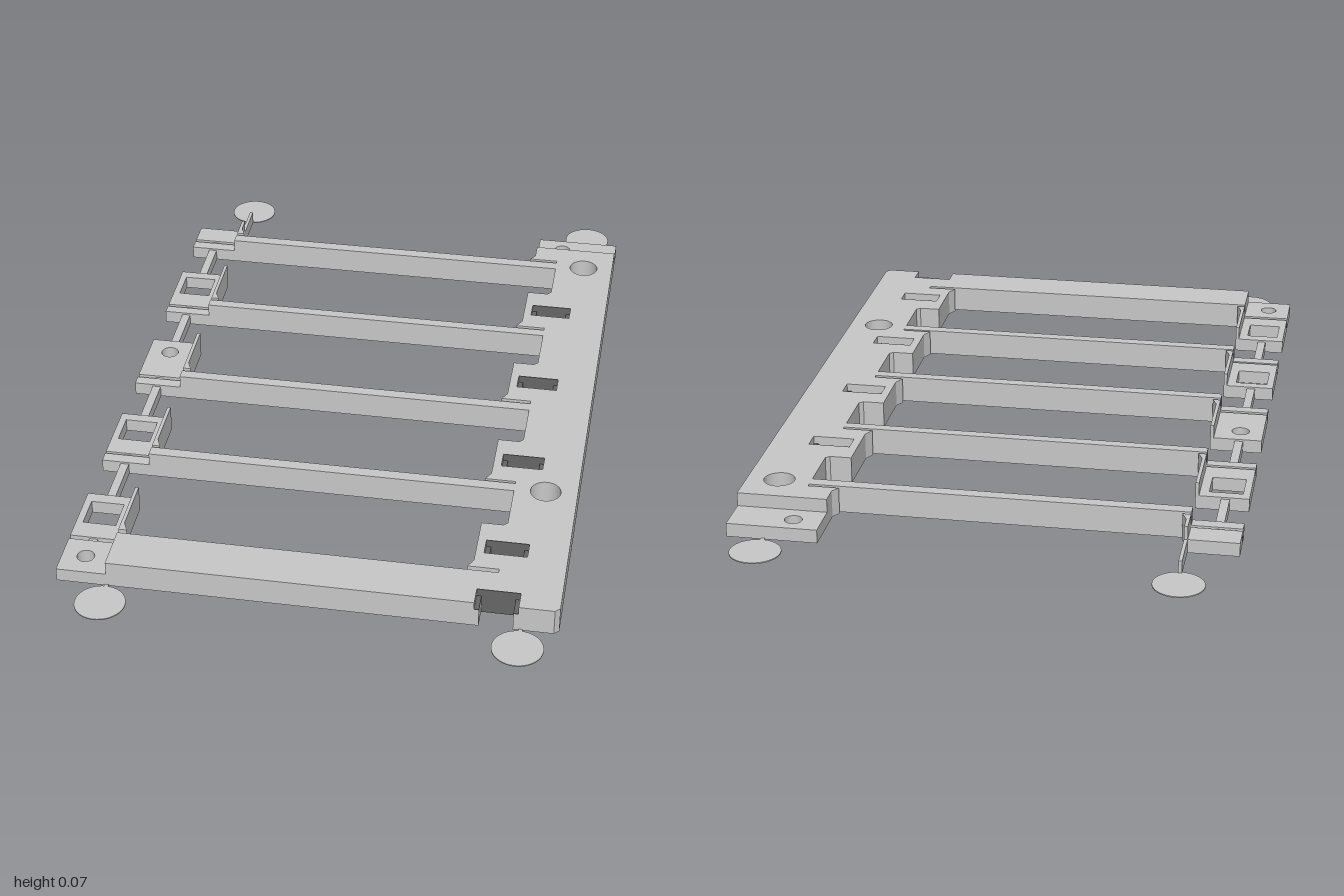
import * as THREE from 'three';

const grey = new THREE.MeshStandardMaterial({ color: 0xc8c8c8 });
grey.name = 'lightGrey';
const dark = new THREE.MeshStandardMaterial({ color: 0x666666 });
dark.name = 'slotGrey';

export function createModel() {
  const model = new THREE.Group();

  const add = (name, geometry, material = grey) => {
    const mesh = new THREE.Mesh(geometry, material);
    mesh.name = name;
    model.add(mesh);
    return mesh;
  };
  // Box given by its limits
  const box = (name, x0, x1, y0, y1, z0, z1, material) =>
    add(name, new THREE.BoxGeometry(x1 - x0, y1 - y0, z1 - z0)
      .translate((x0 + x1) / 2, (y0 + y1) / 2, (z0 + z1) / 2), material);
  // Plan outlines are written as x, z pairs
  const path = pts => pts.map(([x, z]) => new THREE.Vector2(x, -z));
  const rect = (x0, x1, z0, z1) => [[x0, z0], [x1, z0], [x1, z1], [x0, z1]];
  const circle = (x, z, r) => Array.from({ length: 32 }, (_, i) => {
    const a = i / 32 * Math.PI * 2;
    return [x + r * Math.cos(a), z + r * Math.sin(a)];
  });
  // Holes run against the outline so that their walls face inwards
  const slab = (name, outline, holes, y0, y1) => {
    const shape = new THREE.Shape(path(outline));
    holes.forEach(h => shape.holes.push(new THREE.Path(path(h).reverse())));
    const g = new THREE.ExtrudeGeometry(shape, { depth: y1 - y0, bevelEnabled: false });
    return add(name, g.rotateX(-Math.PI / 2).translate(0, y0, 0));
  };

  const H = 0.07, LOW = 0.035, LEDGE = 0.048;
  const FRONT = 0.868, BAR = 0.746, STEP = -0.765, WALL = -0.494;
  const blocks = [[-0.516, -0.339], [-0.156, 0.018], [0.204, 0.377], [0.559, 0.733]];
  const rungs = [[-0.686, -0.654], [-0.329, -0.301], [0.03, 0.06], [0.385, 0.416]];
  const slots = [[-0.452, -0.4], [-0.096, -0.043], [0.264, 0.316], [0.624, 0.676]];
  const NOTCH = 0.814;
  const wide = [0.414, 0.521], narrow = [0.426, 0.509];

  // Main beam: toothed plan, with slots that widen near the top
  const beam = (name, [a, b], y0, y1) => {
    const pts = [[0.393, STEP], [0.62, STEP], [0.62, FRONT - 0.012], [0.608, FRONT],
      [b, FRONT], [b, NOTCH], [a, NOTCH], [a, FRONT], [0.4, FRONT], [0.4, BAR], [0.458, BAR]];
    [...blocks].reverse().forEach(([z0, z1]) => pts.push([0.458, z1],
      [0.38, z1], [0.393, z1 - 0.025], [0.393, z0], [0.448, z0], [0.458, z0 - 0.01]));
    pts.push([0.458, -0.696], [0.38, -0.696], [0.393, -0.716]);
    const holes = [circle(0.538, -0.671, 0.039), circle(0.538, 0.406, 0.039),
      ...slots.map(([z0, z1]) => rect(a, b, z0, z1))];
    slab(name, pts, holes, y0, y1);
  };
  beam('mainBeamLower', narrow, 0, LEDGE);
  beam('mainBeamUpper', wide, LEDGE, H);
  slab('beamEndTongue', rect(0.393, 0.62, -0.866, STEP), [circle(0.464, -0.818, 0.022)], 0, LOW);

  // Dark back walls and side ledges of the slots and the front notch
  [...slots, [NOTCH, FRONT]].forEach(([z0, z1]) => {
    box('slotBackLower', ...narrow, 0, LEDGE, z0, z0 + 0.002, dark);
    box('slotBackUpper', ...wide, LEDGE, H, z0, z0 + 0.002, dark);
    box('slotLedge', wide[0], narrow[0], LEDGE, LEDGE + 0.002, z0, z1, dark);
    box('slotLedge', narrow[1], wide[1], LEDGE, LEDGE + 0.002, z0, z1, dark);
  });

  // Cross rungs, stepped down at their outer ends
  rungs.forEach(([z0, z1]) => {
    box('rung', WALL, 0.459, 0, H, z0, z1);
    box('rungLowEnd', -0.62, WALL, 0, LOW, z0, z1);
  });
  box('frontBar', WALL, 0.4, 0, H, BAR, FRONT);
  slab('frontBarLowEnd', rect(-0.62, WALL, BAR, FRONT), [circle(-0.56, 0.807, 0.022)], 0, LOW);

  // Low side blocks with windows, each backed by a thin upright wall
  const windows = [
    rect(-0.602, -0.517, -0.488, -0.402), circle(-0.56, -0.101, 0.023),
    rect(-0.602, -0.517, 0.231, 0.317), rect(-0.602, -0.517, 0.591, 0.677)];
  const sideBlock = (z0, z1, holes) => {
    slab('sideBlock', rect(-0.62, WALL, z0, z1), holes, 0, LOW);
    slab('sideWall', [[WALL, z0], [WALL + 0.009, z0], [WALL + 0.009, z1 - 0.028],
      [WALL + 0.021, z1], [WALL, z1]], [], 0, H);
  };
  sideBlock(STEP, -0.697, []);
  blocks.forEach(([z0, z1], i) => sideBlock(z0, z1, [windows[i]]));

  // Narrow links joining blocks and rungs
  const stops = [[STEP, -0.697], rungs[0], blocks[0], rungs[1], blocks[1],
    rungs[2], blocks[2], rungs[3], blocks[3], [BAR, FRONT]];
  for (let i = 0; i + 1 < stops.length; i++)
    box('link', -0.571, -0.549, 0, 0.03, stops[i][1], stops[i + 1][0]);

  // Thin corner discs and their stems
  for (const x of [-0.493, 0.528])
    for (const s of [-1, 1])
      add('cornerDisc', new THREE.CylinderGeometry(0.063, 0.063, 0.003, 40)
        .translate(x, 0.0015, s * 0.937));
  box('leftStem', WALL, WALL + 0.009, 0, LOW, -0.88, STEP);
  box('rightStem', 0.523, 0.533, 0, 0.003, -0.88, -0.866);
  box('frontStem', -0.498, -0.488, 0, 0.003, FRONT, 0.88);
  box('frontStem', 0.523, 0.533, 0, 0.003, FRONT, 0.88);

  return model;
}
